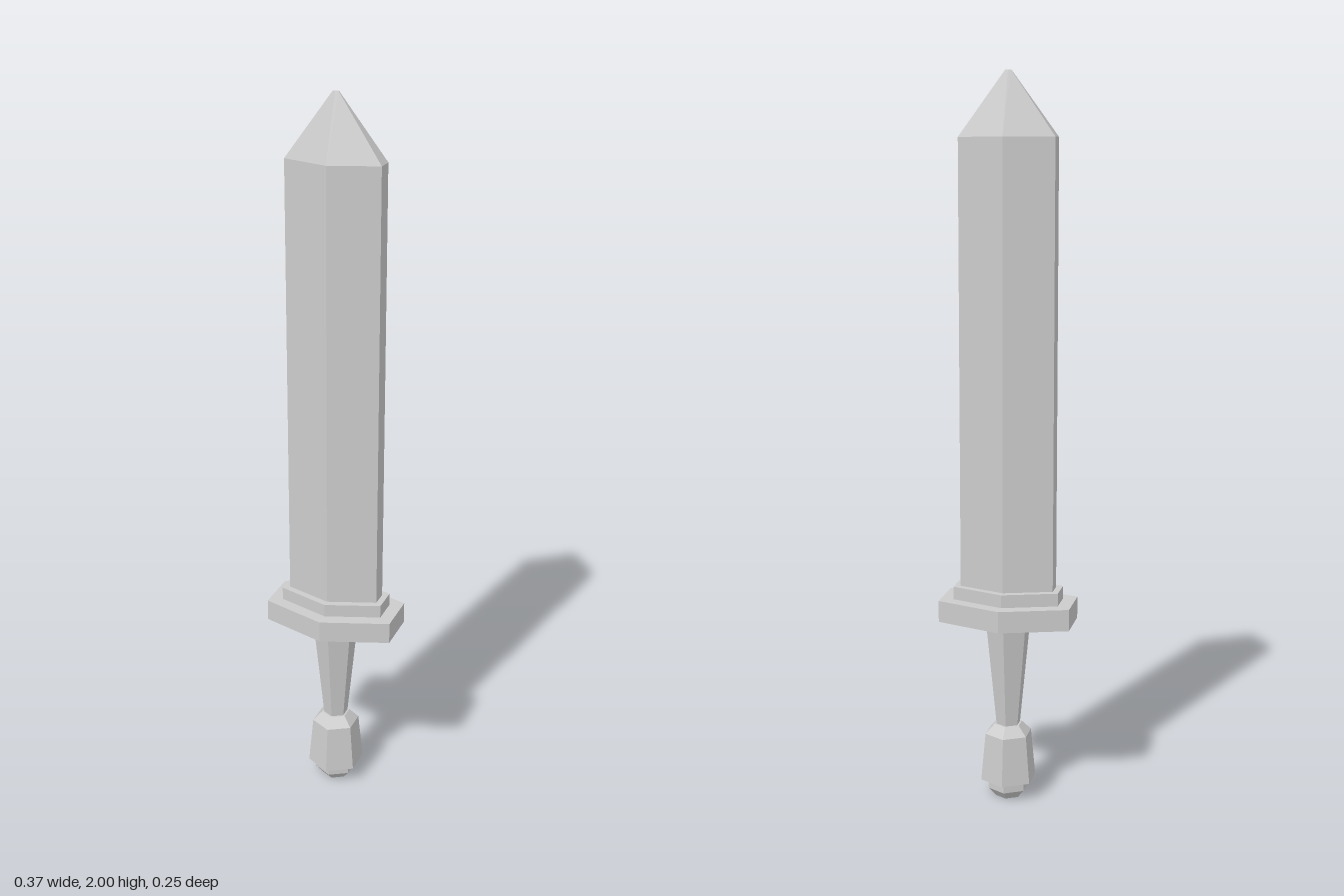
import * as THREE from 'three';

const material = new THREE.MeshStandardMaterial({ color: 0xcccccc, flatShading: true });

// Six-sided loft through rings of [y, half width, half depth, depth at the side corners]
function hexLoft(name, rings) {
  const last = rings.length - 1;
  const geometry = new THREE.CylinderGeometry(1, 1, 1, 6, last);
  const p = geometry.attributes.position;
  for (let i = 0; i < p.count; i++) {
    const [y, hx, hz, side = hz / 2] = rings[Math.round((p.getY(i) + 0.5) * last)];
    const x = p.getX(i), z = p.getZ(i);
    const isSide = Math.abs(x) > 0.1;
    p.setXYZ(i, isSide ? Math.sign(x) * hx : 0, y, isSide ? Math.sign(z) * side : z * hz);
  }
  const flat = geometry.toNonIndexed();
  flat.computeVertexNormals();
  const mesh = new THREE.Mesh(flat, material);
  mesh.name = name;
  return mesh;
}

// Ring of a regular hexagon
const hex = (y, r) => [y, r * 0.866, r];

export function createModel() {
  const sword = new THREE.Group();
  sword.name = 'sword';
  sword.add(
    // Blade with a faceted, slightly blunted point
    hexLoft('blade', [
      [0.61, 0.13, 0.068, 0.024],
      [1.83, 0.13, 0.068, 0.024],
      [2.0, 0.008, 0.004, 0.0015],
    ]),
    // Stepped crossguard
    hexLoft('guardCollar', [[0.575, 0.147, 0.088, 0.038], [0.613, 0.147, 0.088, 0.038]]),
    hexLoft('crossguard', [[0.517, 0.183, 0.125, 0.063], [0.577, 0.183, 0.125, 0.063]]),
    // Grip narrowing towards the pommel
    hexLoft('grip', [hex(0.21, 0.034), hex(0.52, 0.065)]),
    // Pommel with shoulder, and its small end cap
    hexLoft('pommel', [hex(0.053, 0.08), hex(0.188, 0.067), hex(0.215, 0.04)]),
    hexLoft('pommelCap', [hex(0, 0.036), hex(0.025, 0.058), hex(0.054, 0.058)]),
  );
  return sword;
}
